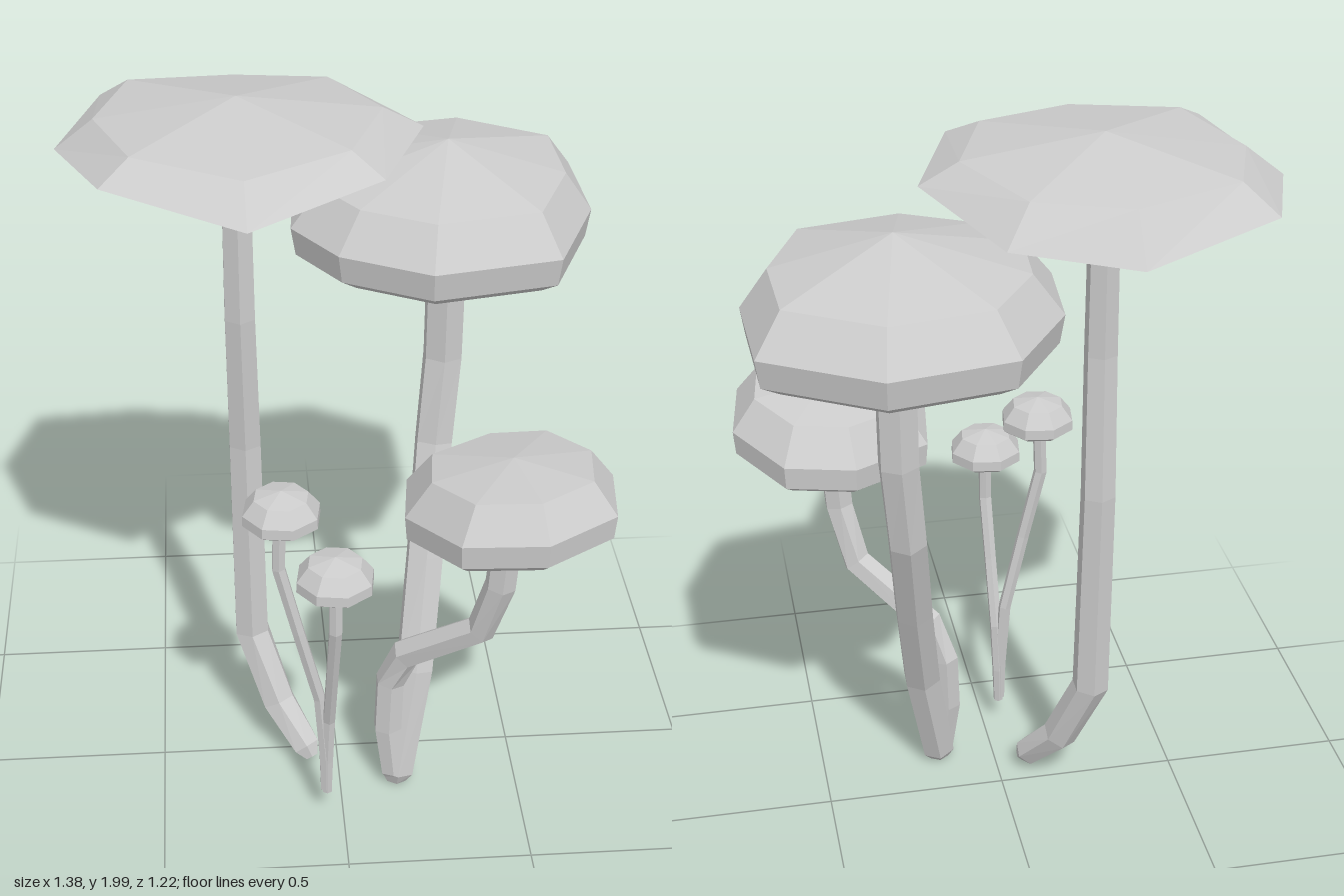
import * as THREE from 'three';

const material = new THREE.MeshStandardMaterial({ color: 0xcccccc, flatShading: true });

// Closed skin over rings of points (counter-clockwise from above, bottom to top)
function loft(rings, bottom, top) {
  const n = rings[0].length;
  const points = [...rings.flat(), bottom, top];
  const b = points.length - 2, t = points.length - 1, last = (rings.length - 1) * n;
  const index = [];
  for (let i = 0; i < n; i++) {
    const j = (i + 1) % n;
    index.push(b, j, i, t, last + i, last + j);
    for (let r = 0; r < rings.length - 1; r++) {
      const p = r * n, q = p + n;
      index.push(p + i, p + j, q + j, p + i, q + j, q + i);
    }
  }
  const g = new THREE.BufferGeometry().setFromPoints(points);
  g.setIndex(index);
  const flat = g.toNonIndexed();
  flat.computeVertexNormals();
  return flat;
}

// Cap: an outline [x, z], scaled into rings [scale, y, share of rim waviness]
function cap({ outline, centre, rings, base, top, wave = [], tilt = [0, 0] }) {
  const [cx, cz] = centre;
  const loops = rings.map(([s, y, share = 0]) => outline.map(([x, z], i) => {
    const dx = (x - cx) * s, dz = (z - cz) * s;
    return new THREE.Vector3(cx + dx, y + share * (wave[i] || 0) + dx * tilt[0] + dz * tilt[1], cz + dz);
  }));
  return loft(loops, new THREE.Vector3(cx, base, cz), new THREE.Vector3(cx, top, cz));
}

// Stem: six-sided sweep through points [x, y, z, radius] from the foot up
function stem(path) {
  const pts = path.map(([x, y, z]) => new THREE.Vector3(x, y, z));
  const loops = pts.map((p, k) => {
    const t = pts[Math.min(k + 1, pts.length - 1)].clone().sub(pts[Math.max(k - 1, 0)]).normalize();
    const u = new THREE.Vector3(1, 0, 0).addScaledVector(t, -t.x).normalize();
    const v = t.clone().cross(u);
    return Array.from({ length: 6 }, (_, i) => {
      const a = (i + 0.5) * Math.PI / 3, r = path[k][3];
      return p.clone().addScaledVector(u, r * Math.cos(a)).addScaledVector(v, r * Math.sin(a));
    });
  });
  return loft(loops, pts[0], pts[pts.length - 1]);
}

const octagon = (cx, cz, r, turn) => Array.from({ length: 8 }, (_, i) => {
  const a = turn + i * Math.PI / 4;
  return [cx + r * Math.cos(a), cz - r * Math.sin(a)];
});

// Small button cap sitting with its lower rim at height y
const buttonCap = (x, y, z) => ({
  outline: octagon(x, z, 0.106, 0.25), centre: [x, z], base: y + 0.01, top: y + 0.097,
  rings: [[0.82, y], [0.98, y + 0.012], [0.97, y + 0.04], [0.68, y + 0.08]],
});

const mushrooms = {
  tallMushroom: {
    cap: {
      outline: [[0.225, -0.1], [0.07, -0.42], [-0.24, -0.5], [-0.585, -0.41],
        [-0.69, -0.1], [-0.57, 0.245], [-0.23, 0.4], [0.1, 0.24]],
      centre: [-0.24, -0.08], base: 1.755, top: 2,
      wave: [0.03, -0.02, -0.06, 0.01, -0.005, 0.04, -0.01, 0.04],
      rings: [[0.5, 1.785, 0.3], [1, 1.87, 1], [0.78, 1.945, 0.3]],
    },
    stem: [[-0.075, 0.035, 0.08, 0.02], [-0.09, 0.06, 0.06, 0.042], [-0.165, 0.17, -0.02, 0.05],
      [-0.235, 0.38, -0.09, 0.052], [-0.24, 1, -0.1, 0.048], [-0.245, 1.4, -0.07, 0.045],
      [-0.245, 1.79, -0.07, 0.042]],
  },
  broadMushroom: {
    cap: {
      outline: [[0.67, -0.14], [0.66, -0.44], [0.38, -0.61], [0.06, -0.555],
        [-0.09, -0.33], [-0.11, -0.08], [0.0, 0.09], [0.225, 0.21], [0.55, 0.145]],
      centre: [0.3, -0.19], base: 1.55, top: 1.825,
      rings: [[0.84, 1.53], [0.97, 1.565], [1, 1.64], [0.81, 1.74]],
    },
    stem: [[0.16, 0.01, 0.16, 0.03], [0.162, 0.04, 0.158, 0.05], [0.215, 0.35, 0.085, 0.055],
      [0.25, 0.65, -0.035, 0.055], [0.28, 0.95, -0.155, 0.055], [0.302, 1.2, -0.19, 0.056],
      [0.305, 1.57, -0.19, 0.056]],
  },
  middleMushroom: {
    cap: {
      outline: [[0.69, 0.27], [0.57, 0.09], [0.38, 0.07], [0.17, 0.185],
        [0.145, 0.39], [0.265, 0.57], [0.475, 0.605], [0.66, 0.49]],
      centre: [0.42, 0.34], base: 1.0, top: 1.195, tilt: [0.07, 0.1],
      rings: [[0.86, 0.985], [0.98, 1.01], [1, 1.075], [0.76, 1.165]],
    },
    stem: [[0.155, 0.02, 0.165, 0.02], [0.15, 0.05, 0.165, 0.036], [0.135, 0.2, 0.155, 0.042],
      [0.14, 0.36, 0.15, 0.042], [0.18, 0.47, 0.175, 0.044], [0.365, 0.63, 0.29, 0.042],
      [0.405, 0.8, 0.33, 0.042], [0.42, 1.03, 0.335, 0.042]],
  },
  upperButton: {
    cap: buttonCap(-0.16, 1.0, 0.3),
    stem: [[-0.05, 0.1, 0.29, 0.014], [-0.05, 0.22, 0.29, 0.018], [-0.065, 0.42, 0.29, 0.018],
      [-0.12, 0.65, 0.3, 0.018], [-0.17, 0.86, 0.3, 0.019], [-0.165, 1.02, 0.3, 0.019]],
  },
  lowerButton: {
    cap: buttonCap(-0.03, 0.86, 0.4),
    stem: [[-0.045, 0.09, 0.29, 0.014], [-0.045, 0.2, 0.29, 0.018], [-0.04, 0.35, 0.3, 0.018],
      [-0.035, 0.55, 0.36, 0.018], [-0.03, 0.73, 0.41, 0.019], [-0.03, 0.88, 0.41, 0.019]],
  },
};

export function createModel() {
  const model = new THREE.Group();
  model.name = 'mushroomCluster';
  for (const [name, parts] of Object.entries(mushrooms)) {
    const group = new THREE.Group();
    group.name = name;
    const capMesh = new THREE.Mesh(cap(parts.cap), material);
    capMesh.name = 'cap';
    const stemMesh = new THREE.Mesh(stem(parts.stem), material);
    stemMesh.name = 'stem';
    group.add(capMesh, stemMesh);
    model.add(group);
  }
  return model;
}
